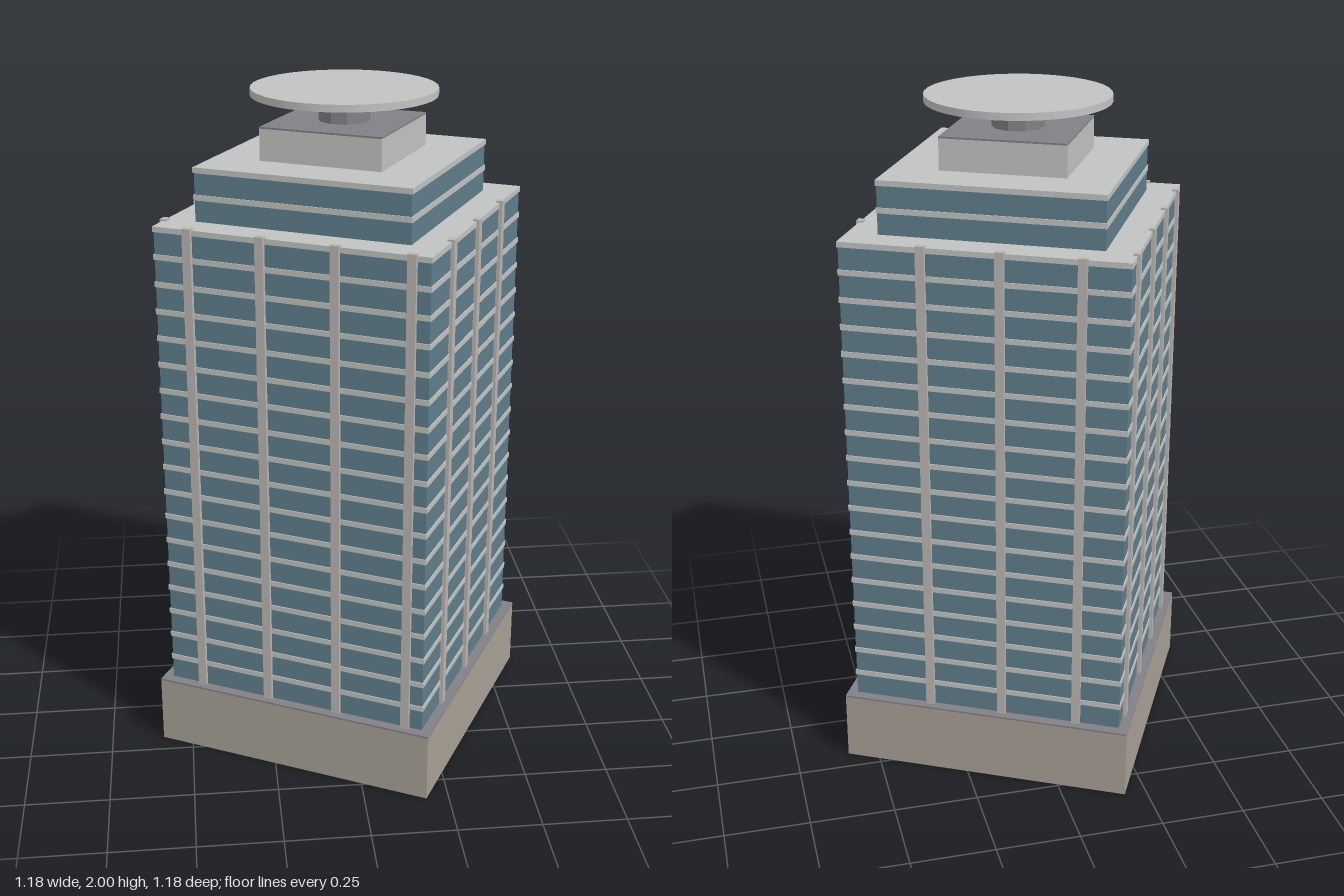
import * as THREE from 'three';

const mat = (name, color) => {
  const m = new THREE.MeshStandardMaterial({ color });
  m.name = name;
  return m;
};

export function createModel() {
  const glass = mat('blue glass', 0x5f7d8b);
  const concrete = mat('light concrete', 0xc0c3c1);
  const finStone = mat('fin stone', 0xbab5b1);
  const stone = mat('podium stone', 0xa69f94);
  const grey = mat('dark grey roofing', 0x808086);

  const model = new THREE.Group();
  model.name = 'tower';
  const body = new THREE.Group();
  body.name = 'towerBody';
  body.rotation.y = -0.4843; // the plan is turned to the street grid
  model.add(body);

  // Square block given by half width and its bottom and top heights
  const block = (name, half, y0, y1, material) => {
    const m = new THREE.Mesh(new THREE.BoxGeometry(half * 2, y1 - y0, half * 2), material);
    m.position.y = (y0 + y1) / 2;
    m.name = name;
    body.add(m);
  };

  // Glass storeys, each closed by a slab edge
  const storeys = (name, half, y0, y1, count) => {
    block(name + 'Glass', half - 0.003, y0, y1 - 0.008, glass);
    const step = (y1 - y0) / count;
    for (let i = 1; i <= count; i++) {
      const top = y0 + i * step;
      block(name + 'Slab', half, top - 0.016, top, concrete);
    }
  };

  // Podium with its roof
  block('podium', 0.4375, 0, 0.208, stone);
  block('podiumRoof', 0.4375, 0.208, 0.213, grey);

  // Main shaft and setback
  storeys('shaft', 0.411, 0.213, 1.655, 18);
  storeys('setback', 0.324, 1.655, 1.81, 2);

  // Vertical fins: offsets along each facade, seen from outside, left to right
  const fins = [
    [-0.303, -0.083, 0.138, 0.357],
    [-0.237, -0.014, 0.208],
    [-0.172, 0.05, 0.278],
    [-0.33, -0.09, 0.128, 0.338],
  ];
  const finGeometry = new THREE.BoxGeometry(0.026, 1.447, 0.02);
  fins.forEach((offsets, side) => {
    const facade = new THREE.Group();
    facade.name = 'facadeFins';
    facade.rotation.y = side * Math.PI / 2;
    for (const x of offsets) {
      const fin = new THREE.Mesh(finGeometry, finStone);
      fin.name = 'fin';
      fin.position.set(x, 0.213 + 1.447 / 2, 0.409);
      facade.add(fin);
    }
    body.add(facade);
  });

  // Plant room
  block('plantRoom', 0.183, 1.81, 1.901, concrete);
  block('plantRoomRoof', 0.183, 1.901, 1.906, grey);

  // Helipad on its column
  const column = new THREE.Mesh(new THREE.CylinderGeometry(0.076, 0.076, 0.076, 10), grey);
  column.geometry = column.geometry.toNonIndexed();
  column.geometry.computeVertexNormals();
  column.name = 'helipadColumn';
  column.position.y = 1.943;
  const pad = new THREE.Mesh(new THREE.CylinderGeometry(0.268, 0.268, 0.021, 36), concrete);
  pad.name = 'helipad';
  pad.position.y = 1.9895;
  model.add(column, pad);

  return model;
}
